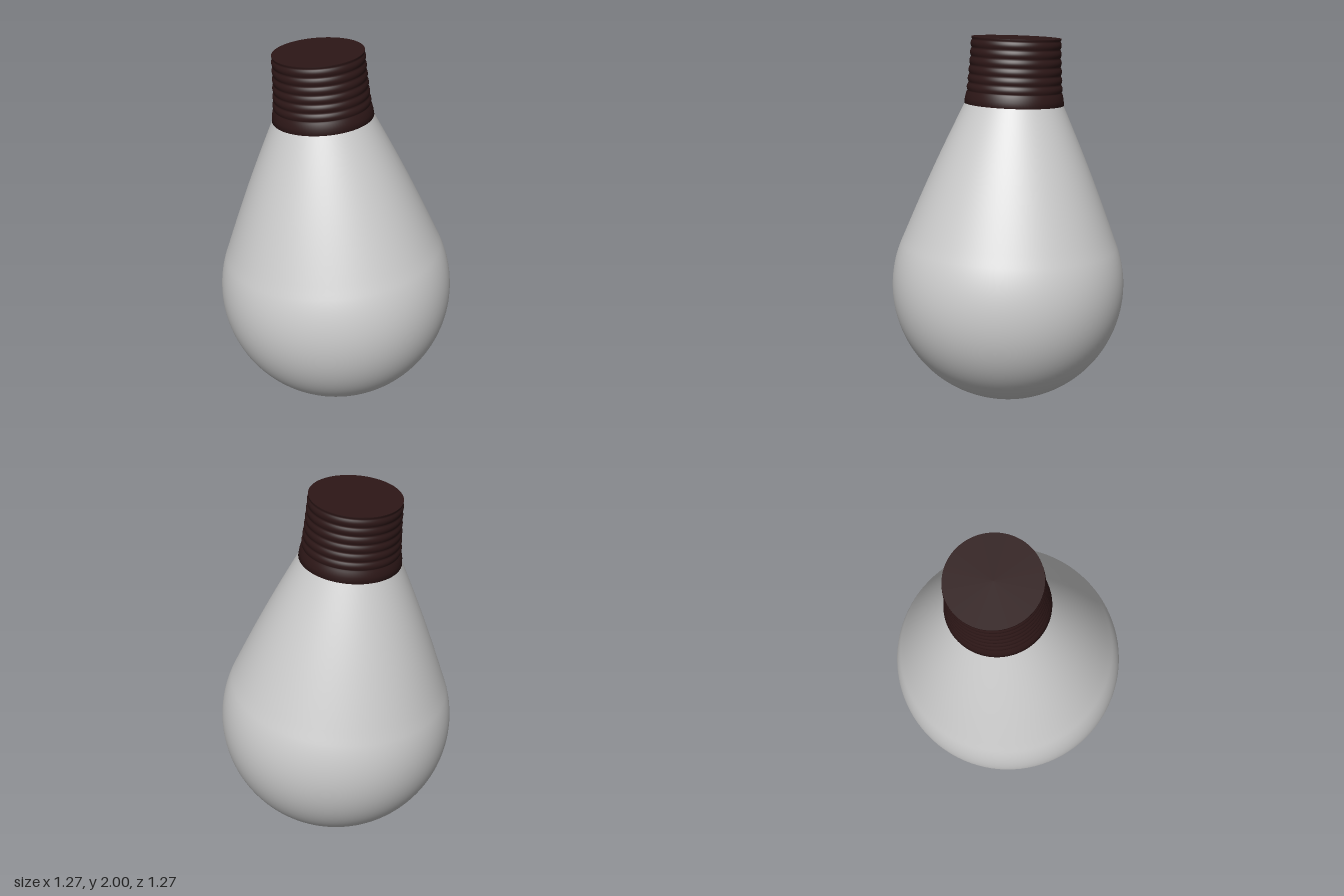
import * as THREE from 'three';

const R = 0.637;        // globe radius
const TILT = 0.08;      // lean of the whole bulb
const NECK = 0.997;     // neck height above the globe centre
const TOP = 1.348;      // cap top above the globe centre
const SEGMENTS = 96;

const v = (x, y) => new THREE.Vector2(x, y);

function lathe(name, points, color) {
  const material = new THREE.MeshStandardMaterial({ color });
  const mesh = new THREE.Mesh(new THREE.LatheGeometry(points, SEGMENTS), material);
  mesh.name = name;
  return mesh;
}

export function createModel() {
  const group = new THREE.Group();
  group.name = 'lightBulb';

  // Glass: sphere arc running into a gently bowed cone
  const glass = [];
  const end = 0.42;
  for (let i = 0; i <= 48; i++) {
    const a = -Math.PI / 2 + (i / 48) * (Math.PI / 2 + end);
    glass.push(v(Math.max(0, R * Math.cos(a)), R * Math.sin(a)));
  }
  const start = glass[glass.length - 1];
  for (let i = 1; i <= 16; i++) {
    const t = i / 16;
    const bow = 0.008 * Math.sin(Math.PI * t);
    glass.push(v(THREE.MathUtils.lerp(start.x, 0.262, t) + bow,
      THREE.MathUtils.lerp(start.y, NECK + 0.005, t)));
  }
  group.add(lathe('glassBulb', glass, 0xcccccc));

  // Screw cap: plain band at the neck, then tapering rounded threads
  const cap = [v(0.255, NECK), v(0.267, NECK), v(0.264, NECK + 0.03), v(0.257, NECK + 0.06)];
  const threads = 6, steps = 8, low = NECK + 0.065;
  for (let i = 0; i <= threads * steps; i++) {
    const t = i / (threads * steps);
    const ridge = 0.007 * Math.abs(Math.sin(Math.PI * threads * t));
    const taper = 0.234 + 0.017 * (1 - t) ** 1.5;
    cap.push(v(taper + ridge, THREE.MathUtils.lerp(low, TOP - 0.012, t)));
  }
  cap.push(v(0.238, TOP - 0.008), v(0.238, TOP));
  group.add(lathe('screwCap', cap, 0x2d1717));

  // Flat contact disc closing the cap
  const disc = new THREE.Mesh(
    new THREE.CircleGeometry(0.238, SEGMENTS).rotateX(-Math.PI / 2),
    new THREE.MeshStandardMaterial({ color: 0x2d1717 }));
  disc.name = 'capTop';
  disc.position.y = TOP;
  group.add(disc);

  // Lean about the globe centre, resting on the ground
  group.rotation.z = TILT;
  group.position.y = R;
  const model = new THREE.Group();
  model.name = 'bulbModel';
  model.add(group);
  return model;
}
